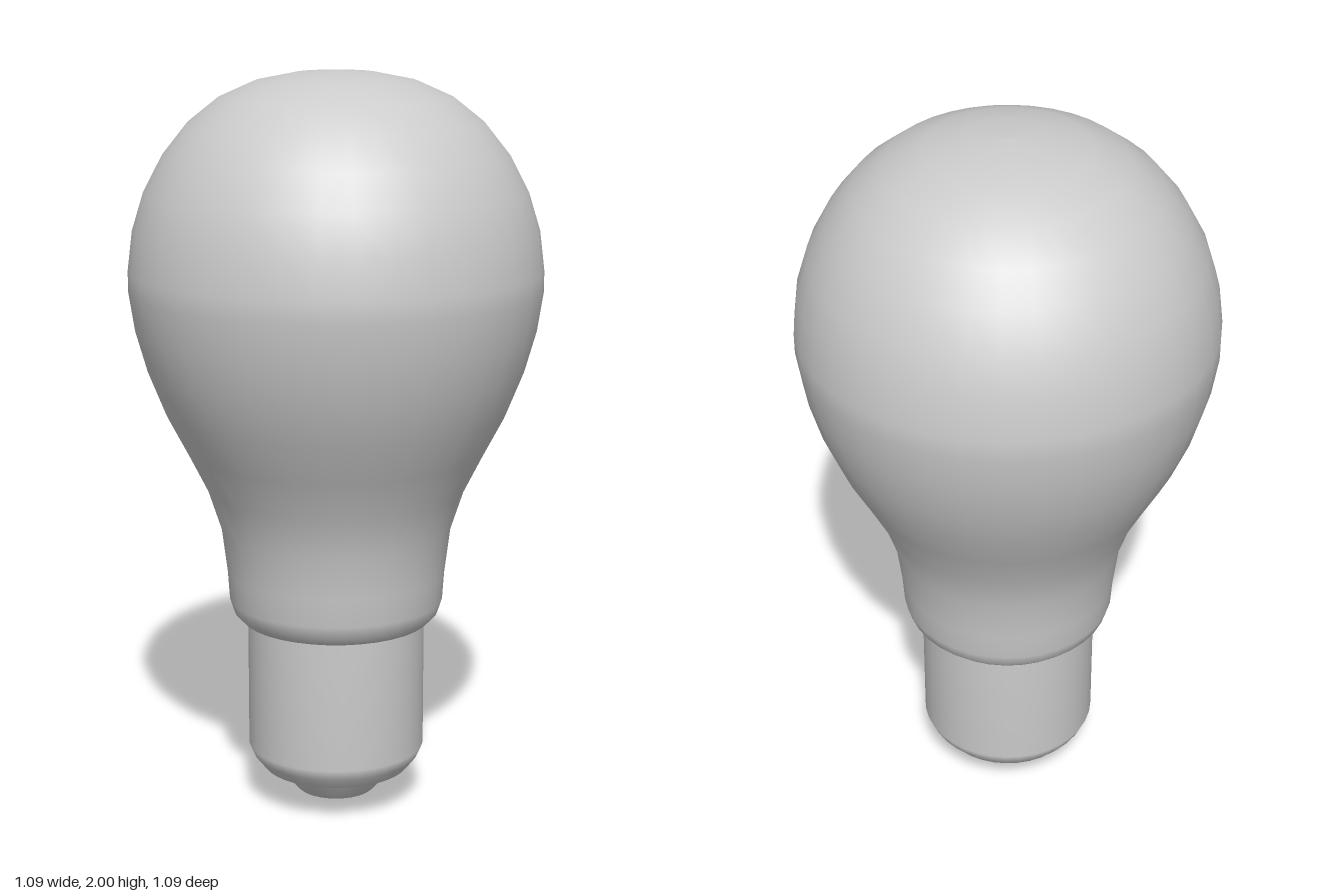
import * as THREE from 'three';
import { toCreasedNormals } from 'three/addons/utils/BufferGeometryUtils.js';

const SIDES = 36;

export function createModel() {
  const group = new THREE.Group();
  const material = new THREE.MeshStandardMaterial({ color: 0xcccccc });

  // Revolves a profile of [radius, height] pairs, listed from bottom to top
  function addTurned(name, profile, creaseDegrees) {
    const points = profile.map(([r, y]) => new THREE.Vector2(r, y));
    let geometry = new THREE.LatheGeometry(points, SIDES);
    if (creaseDegrees) geometry = toCreasedNormals(geometry, THREE.MathUtils.degToRad(creaseDegrees));
    const mesh = new THREE.Mesh(geometry, material);
    mesh.name = name;
    group.add(mesh);
  }

  // Pear-shaped glass with a rolled lower lip
  addTurned('glassBulb', [
    [0.235, 0.52], [0.255, 0.527], [0.278, 0.55], [0.289, 0.585], [0.294, 0.66],
    [0.309, 0.78], [0.345, 0.89], [0.4, 1.0], [0.455, 1.105], [0.499, 1.215],
    [0.53, 1.325], [0.546, 1.43], [0.546, 1.485], [0.533, 1.59], [0.502, 1.69],
    [0.452, 1.785], [0.388, 1.865], [0.306, 1.93], [0.21, 1.973], [0.105, 1.994], [0, 2],
  ]);

  // Plain metal sleeve with a rounded lower edge
  addTurned('baseSleeve', [
    [0.2, 0.105], [0.226, 0.137], [0.24, 0.168], [0.24, 0.53],
  ]);

  // Flat underside of the sleeve
  addTurned('baseUnderside', [[0, 0.1], [0.2, 0.105]]);

  // Tapered insulator and shallow pointed contact
  addTurned('insulator', [[0.105, 0.035], [0.128, 0.06], [0.158, 0.104]]);
  addTurned('contactTip', [[0, 0], [0.105, 0.035]], 40);

  return group;
}
